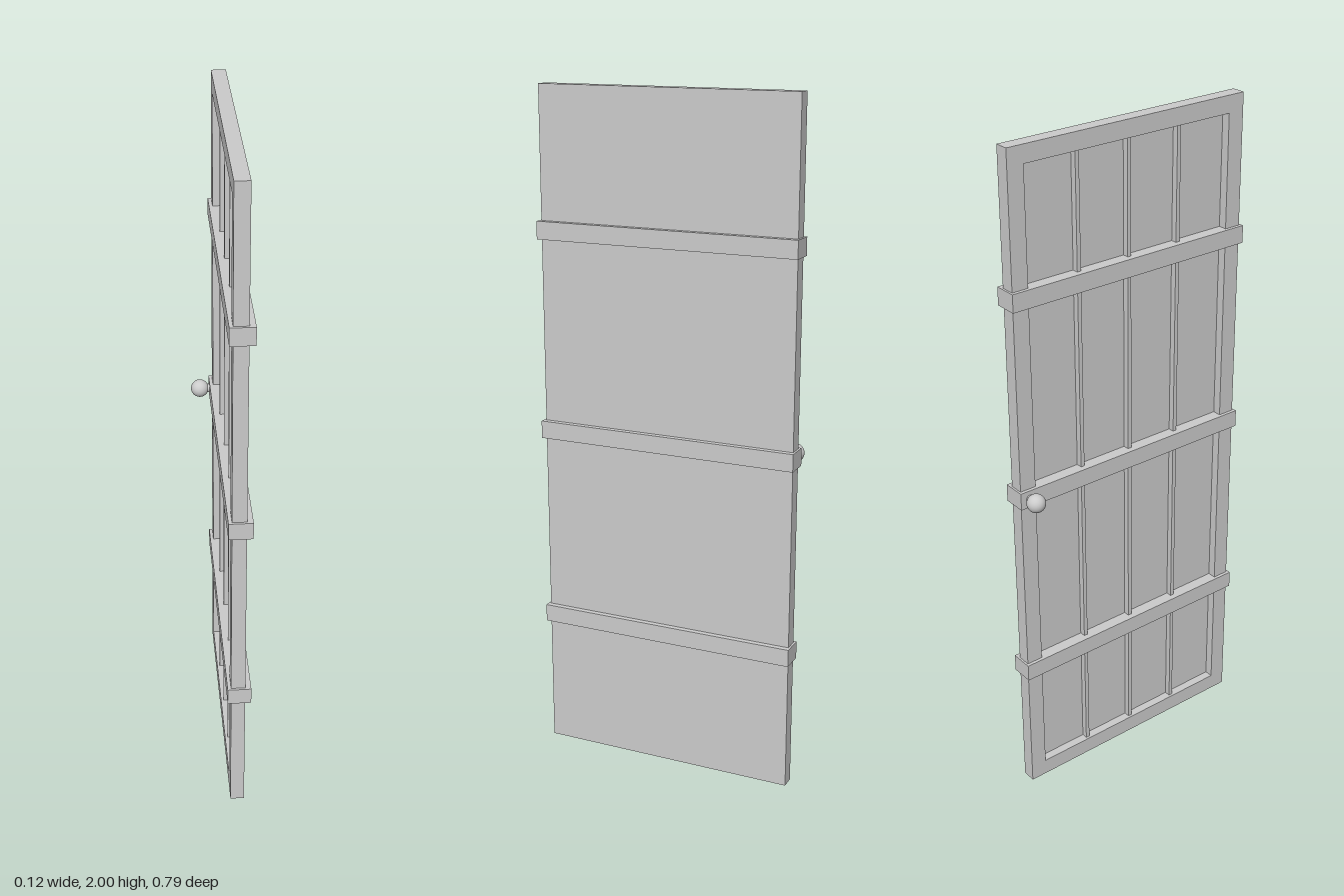
import * as THREE from 'three';

export function createModel() {
  const group = new THREE.Group();
  const material = new THREE.MeshStandardMaterial({ color: 0xcccccc });

  const add = (name, geometry, x, y, z) => {
    const mesh = new THREE.Mesh(geometry, material);
    mesh.name = name;
    mesh.position.set(x, y, z);
    group.add(mesh);
    return mesh;
  };
  const box = (name, x0, x1, y0, y1, z0, z1) =>
    add(name, new THREE.BoxGeometry(x1 - x0, y1 - y0, z1 - z0),
      (x0 + x1) / 2, (y0 + y1) / 2, (z0 + z1) / 2);

  const H = 2, W = 0.776, zMid = -0.002;
  const xFace = 0.003, xFloor = 0.029, xBack = 0.044;
  const border = 0.05, z0 = zMid - W / 2, z1 = zMid + W / 2;

  // Flat outer board
  box('backBoard', xFloor, xBack, 0, H, z0, z1);

  // Raised border around the recessed panel
  const rect = (path, w, y0, y1) => path
    .moveTo(-w / 2, y0).lineTo(w / 2, y0).lineTo(w / 2, y1).lineTo(-w / 2, y1).closePath();
  const outline = new THREE.Shape();
  rect(outline, W, 0, H);
  const opening = new THREE.Path();
  rect(opening, W - 2 * border, border, H - border);
  outline.holes.push(opening);
  const frame = add('frame',
    new THREE.ExtrudeGeometry(outline, { depth: xFloor - xFace, bevelEnabled: false }),
    xFace, 0, zMid);
  frame.rotation.y = Math.PI / 2;

  // Upright strips dividing the recess into four planks
  const spacing = (W - 2 * border) / 4;
  for (let i = -1; i <= 1; i++) {
    const z = zMid + i * spacing;
    box('plankStrip', 0.011, xFloor, border, H - border, z - 0.006, z + 0.006);
  }

  // Bands wrapping the door
  for (const y of [0.418, 1.004, 1.594]) {
    box('band', -0.007, 0.061, y - 0.026, y + 0.026, -0.396, 0.393);
  }

  // Round handle on a short stem
  add('knob', new THREE.SphereGeometry(0.027, 32, 20), -0.036, 1.004, -0.366);
  const stem = add('knobStem', new THREE.CylinderGeometry(0.013, 0.013, 0.03, 24),
    -0.017, 1.004, -0.366);
  stem.rotation.z = Math.PI / 2;

  return group;
}
